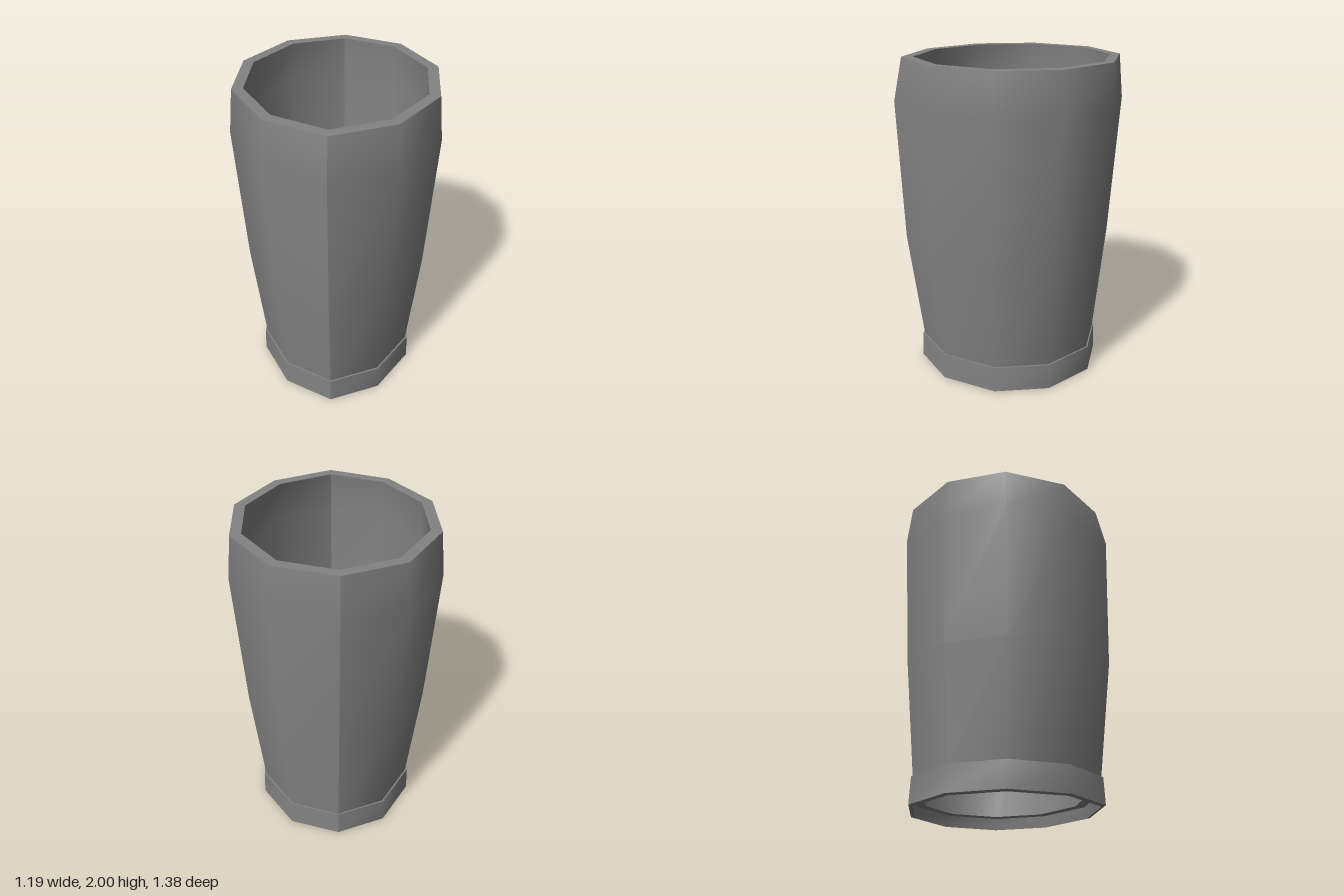
import * as THREE from 'three';

// Half outline of the ten-sided ring, front to back: [x share, z share]
const HALF = [[0, 1], [0.615, 0.765], [1, 0.25], [1, -0.335], [0.615, -0.82], [0, -1]];

// One ring of points; each row is [y, half width, front depth, back depth]
function ringPoint([y, w, front, back], [sx, sz], side) {
  return [sx * w * side, y, sz * (sz > 0 ? front : back)];
}

// Smooth strip through the rows for one half; front and back seams stay sharp
function halfStrip(rows, side) {
  const outline = side > 0 ? HALF : [...HALF].reverse();
  const n = outline.length, pos = [], index = [];
  rows.forEach(row => outline.forEach(p => pos.push(...ringPoint(row, p, side))));
  for (let i = 0; i < rows.length - 1; i++) {
    for (let j = 0; j < n - 1; j++) {
      const a = i * n + j, b = a + 1, c = b + n, d = a + n;
      index.push(a, b, c, a, c, d);
    }
  }
  const geo = new THREE.BufferGeometry();
  geo.setAttribute('position', new THREE.Float32BufferAttribute(pos, 3));
  geo.setIndex(index);
  geo.computeVertexNormals();
  return geo;
}

export function createModel() {
  const model = new THREE.Group();
  model.name = 'sleeve';
  const grey = new THREE.MeshStandardMaterial({ color: 0x828282 });
  grey.name = 'grey';

  const addPart = (name, rows) => {
    const part = new THREE.Group();
    part.name = name;
    for (const side of [1, -1]) {
      const mesh = new THREE.Mesh(halfStrip(rows, side), grey);
      mesh.name = name + (side > 0 ? 'Left' : 'Right');
      part.add(mesh);
    }
    model.add(part);
  };

  const outer = [
    [0.17, 0.477, 0.573, 0.568],
    [0.87, 0.545, 0.66, 0.637],
    [1.74, 0.595, 0.692, 0.692],
    [2, 0.57, 0.638, 0.665],
  ];
  const inner = [
    [2, 0.507, 0.57, 0.605],
    [1.74, 0.53, 0.62, 0.63],
    [0.87, 0.48, 0.585, 0.575],
    [0.07, 0.405, 0.49, 0.495],
  ];
  const bandTop = [0.17, 0.488, 0.584, 0.577];
  const bandBottom = [0.007, 0.494, 0.59, 0.584];
  const bandLip = [0, 0.47, 0.565, 0.56];
  const recessTop = [0.07, 0.46, 0.555, 0.55];

  // Tube walls and top rim
  addPart('outerWall', outer);
  addPart('topRim', [outer[3], inner[0]]);
  addPart('innerWall', inner);

  // Cuff band with a shallow recess underneath
  addPart('recessCeiling', [inner[3], recessTop]);
  addPart('bandInside', [recessTop, bandLip]);
  addPart('bandBottomRim', [bandLip, bandBottom]);
  addPart('bandOutside', [bandBottom, bandTop]);
  addPart('bandLedge', [bandTop, outer[0]]);

  return model;
}
